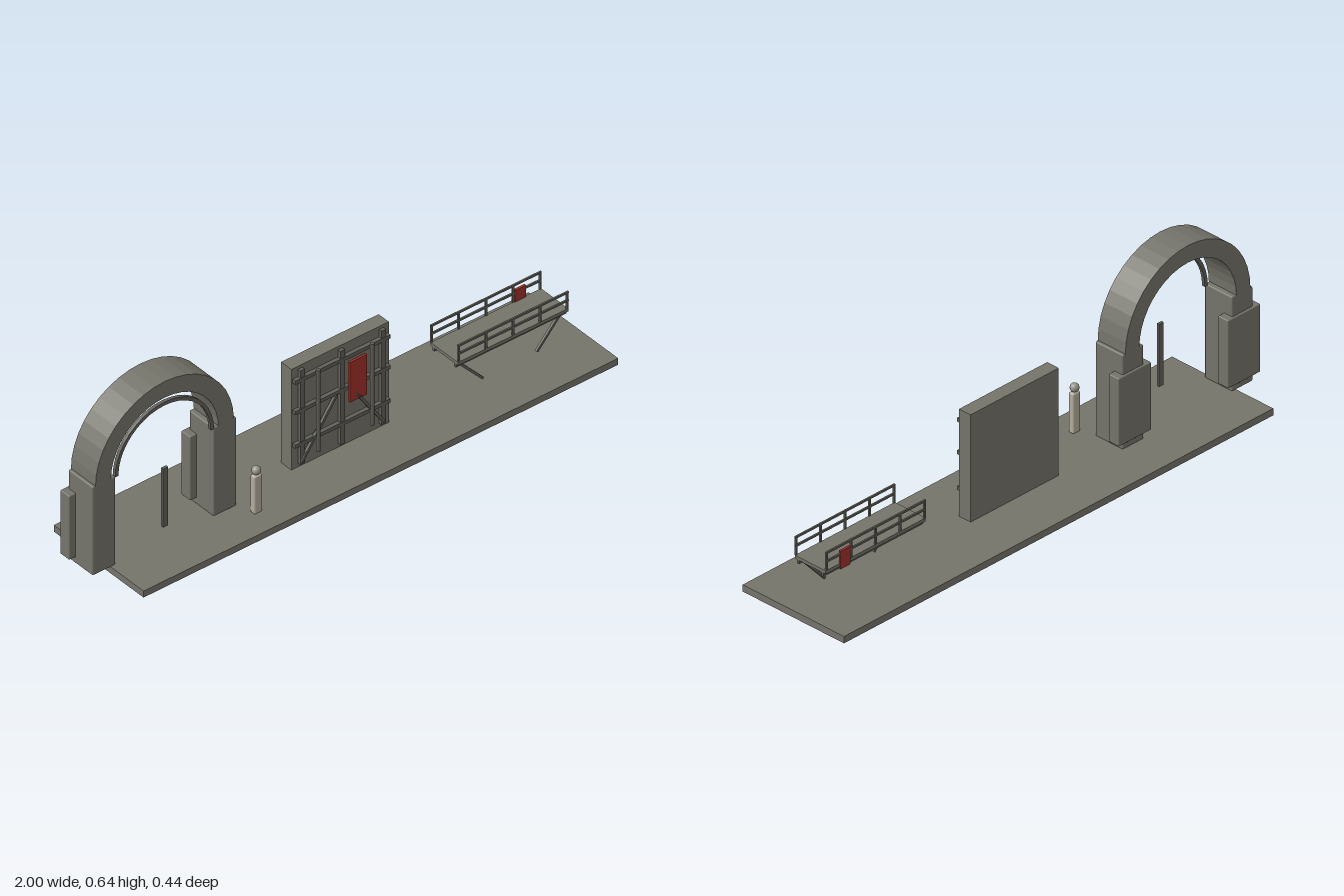
import * as THREE from 'three';
import { RoundedBoxGeometry } from 'three/addons/geometries/RoundedBoxGeometry.js';

const mat = (name, color) => {
  const m = new THREE.MeshStandardMaterial({ color });
  m.name = name;
  return m;
};

export function createModel() {
  const stone = mat('stone grey', 0x75746b);
  const metal = mat('dark metal', 0x62615a);
  const red = mat('warning red', 0xa0302a);
  const pale = mat('pale cloth', 0xb4ae9e);
  const headGrey = mat('head grey', 0x9a978b);

  const root = new THREE.Group();
  root.name = 'stagePieces';
  const group = (name) => {
    const g = new THREE.Group();
    g.name = name;
    root.add(g);
    return g;
  };
  const add = (parent, name, geo, m, x = 0, y = 0, z = 0) => {
    const mesh = new THREE.Mesh(geo, m);
    mesh.name = name;
    mesh.position.set(x, y, z);
    parent.add(mesh);
    return mesh;
  };
  // Box given by its minimum and maximum on each axis
  const box = (parent, name, m, x0, x1, y0, y1, z0, z1, r = 0) => {
    const s = [x1 - x0, y1 - y0, z1 - z0];
    const geo = r ? new RoundedBoxGeometry(...s, 2, r) : new THREE.BoxGeometry(...s);
    return add(parent, name, geo, m, (x0 + x1) / 2, (y0 + y1) / 2, (z0 + z1) / 2);
  };
  // Square bar between two points in a plane of constant z
  const strut = (parent, name, m, xa, ya, xb, yb, z, t) => {
    const len = Math.hypot(xb - xa, yb - ya);
    const bar = add(parent, name, new THREE.BoxGeometry(len, t, t), m, (xa + xb) / 2, (ya + yb) / 2, z);
    bar.rotation.z = Math.atan2(yb - ya, xb - xa);
    return bar;
  };

  box(root, 'basePlate', stone, -0.9, 1, 0, 0.025, -0.22, 0.22);

  // Archway: faceted half ring on two piers
  const arch = group('archway');
  const cx = -0.685, cy = 0.365, n = 20;
  const halfRing = (outer, inner, depth) => {
    const pts = [];
    for (let i = 0; i <= n; i++) {
      const a = (Math.PI * i) / n;
      pts.push(new THREE.Vector2(Math.cos(a) * outer, Math.sin(a) * outer));
    }
    for (let i = n; i >= 0; i--) {
      const a = (Math.PI * i) / n;
      pts.push(new THREE.Vector2(Math.cos(a) * inner, Math.sin(a) * inner));
    }
    return new THREE.ExtrudeGeometry(new THREE.Shape(pts), { depth, bevelEnabled: false });
  };
  add(arch, 'archRing', halfRing(0.277, 0.215, 0.12), stone, cx, cy, -0.06);
  add(arch, 'innerTrim', halfRing(0.198, 0.185, 0.012), metal, cx, cy, 0.048);
  for (const s of [-1, 1]) {
    const px = cx + s * 0.242;
    box(arch, 'pier', stone, px - 0.046, px + 0.046, 0.025, 0.368, -0.06, 0.06, 0.005);
    box(arch, 'pierBackBlock', stone, px - 0.072, px + 0.072, 0.05, 0.297, -0.068, -0.023, 0.004);
  }
  box(arch, 'centreStrip', metal, cx - 0.01, cx + 0.01, 0.083, 0.31, 0.055, 0.065);

  // Figure for scale
  const figure = group('figure');
  box(figure, 'body', pale, -0.386, -0.354, 0.025, 0.171, 0.112, 0.135, 0.006);
  add(figure, 'head', new THREE.SphereGeometry(0.0155, 16, 12), headGrey, -0.37, 0.186, 0.123);

  // Wall panel with framing on the front
  const wall = group('wallPanel');
  box(wall, 'slab', stone, -0.15, 0.24, 0.025, 0.415, -0.024, 0.026);
  for (const x of [-0.115, 0.045, 0.21]) box(wall, 'stud', metal, x - 0.009, x + 0.009, 0.04, 0.403, 0.026, 0.038);
  for (const y of [0.12, 0.25, 0.368]) box(wall, 'crossRail', metal, -0.145, 0.235, y - 0.007, y + 0.007, 0.026, 0.04);
  for (const x of [-0.056, 0.16]) {
    add(wall, 'pipe', new THREE.CylinderGeometry(0.007, 0.007, 0.315, 10), metal, x, 0.222, 0.043);
  }
  strut(wall, 'brace', metal, 0.02, 0.245, -0.12, 0.05, 0.038, 0.01);
  strut(wall, 'brace', metal, 0.095, 0.22, 0.21, 0.05, 0.038, 0.01);
  box(wall, 'redHatch', red, 0.067, 0.136, 0.195, 0.35, 0.038, 0.047);
  strut(wall, 'hatchHandle', metal, 0.092, 0.215, 0.112, 0.2, 0.049, 0.005);

  // Raised walkway
  const walk = group('walkway');
  const x0 = 0.483, x1 = 0.925, mid = (x0 + x1) / 2;
  box(walk, 'deck', stone, x0, x1, 0.153, 0.165, -0.067, 0.067);
  for (const s of [-1, 1]) {
    const z = s * 0.0665;
    box(walk, 'deckBeam', metal, x0, x1, 0.14, 0.153, s * 0.053 - 0.0045, s * 0.053 + 0.0045);
    for (const y of [0.198, 0.229]) box(walk, 'handRail', metal, x0, x1, y - 0.0035, y + 0.0035, z - 0.003, z + 0.003);
    for (let i = 0; i < 5; i++) {
      const x = x0 + 0.004 + ((x1 - x0 - 0.008) * i) / 4;
      box(walk, 'railPost', metal, x - 0.0035, x + 0.0035, 0.165, 0.23, z - 0.003, z + 0.003);
    }
    // Slanted supports under the front edge
    strut(walk, 'support', metal, mid + s * 0.2, 0.142, mid + s * 0.108, 0.042, 0.049, 0.009);
  }
  box(walk, 'redSign', red, 0.818, 0.862, 0.145, 0.21, -0.0705, -0.062);

  return root;
}
